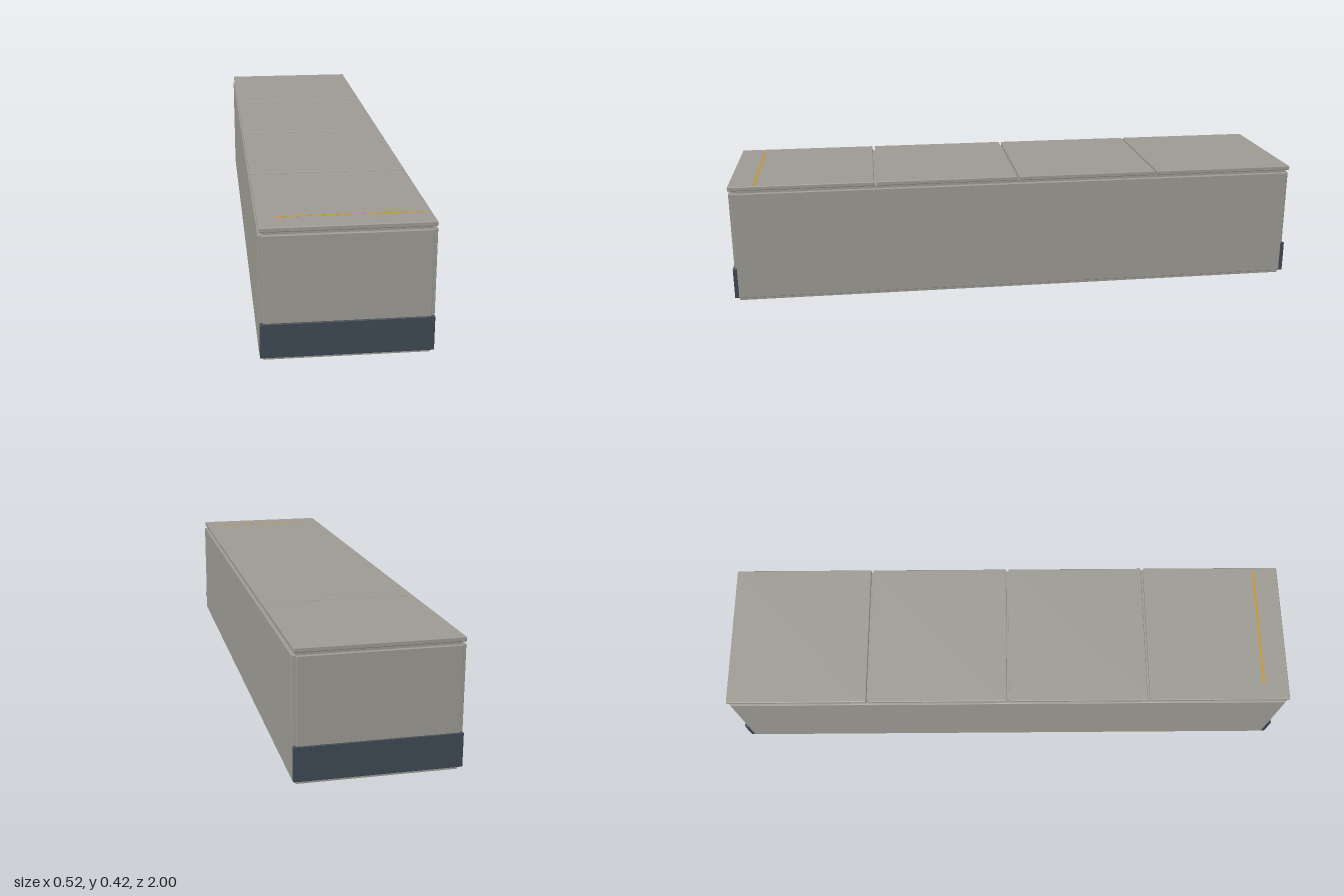
import * as THREE from 'three';
import { RoundedBoxGeometry } from 'three/addons/geometries/RoundedBoxGeometry.js';

export function createModel() {
  const model = new THREE.Group();
  model.name = 'storageBench';
  const grey = new THREE.MeshStandardMaterial({ color: 0x9c9a92 });
  const navy = new THREE.MeshStandardMaterial({ color: 0x3e4854 });
  const ochre = new THREE.MeshStandardMaterial({ color: 0xc8932e });

  // box given by its extents, with an optional softened edge
  function box(name, material, [x0, x1], [y0, y1], [z0, z1], edge = 0) {
    const size = [x1 - x0, y1 - y0, z1 - z0];
    const geometry = edge
      ? new RoundedBoxGeometry(...size, 2, edge)
      : new THREE.BoxGeometry(...size);
    const mesh = new THREE.Mesh(geometry, material);
    mesh.name = name;
    mesh.position.set((x0 + x1) / 2, (y0 + y1) / 2, (z0 + z1) / 2);
    model.add(mesh);
  }
  // extents of a slab on the positive or negative side of an axis
  const span = (sign, a, b) => (sign > 0 ? [a, b] : [-b, -a]);

  // inner carcass, showing as a recess under the lid and above the ground
  box('carcass', grey, [-0.246, 0.246], [0, 0.4], [-0.985, 0.985]);

  for (const s of [1, -1]) {
    const side = s > 0 ? 'left' : 'right';
    const end = s > 0 ? 'front' : 'back';
    // long side cladding
    box(side + 'SidePanel', grey, span(s, 0.24, 0.258), [0.012, 0.39], [-0.986, 0.986], 0.002);
    // end cladding and its dark kick plate
    box(end + 'EndPanel', grey, [-0.247, 0.247], [0.012, 0.39], span(s, 0.976, 0.995), 0.002);
    box(end + 'KickPlate', navy, [-0.257, 0.257], [0.012, 0.12], span(s, 0.986, 1), 0.002);
  }

  // four lid slabs separated by narrow joints
  const lidEnd = 0.996, joint = 0.008, pitch = lidEnd / 2;
  for (let i = 0; i < 4; i++) {
    const z0 = -lidEnd + i * pitch + (i > 0 ? joint / 2 : 0);
    const z1 = -lidEnd + (i + 1) * pitch - (i < 3 ? joint / 2 : 0);
    box('lidSlab' + (i + 1), grey, [-0.255, 0.255], [0.4, 0.415], [z0, z1], 0.003);
  }

  // fine inlay line across the front slab
  box('lidInlay', ochre, [-0.2, 0.24], [0.41, 0.4153], [0.905, 0.912]);

  return model;
}
